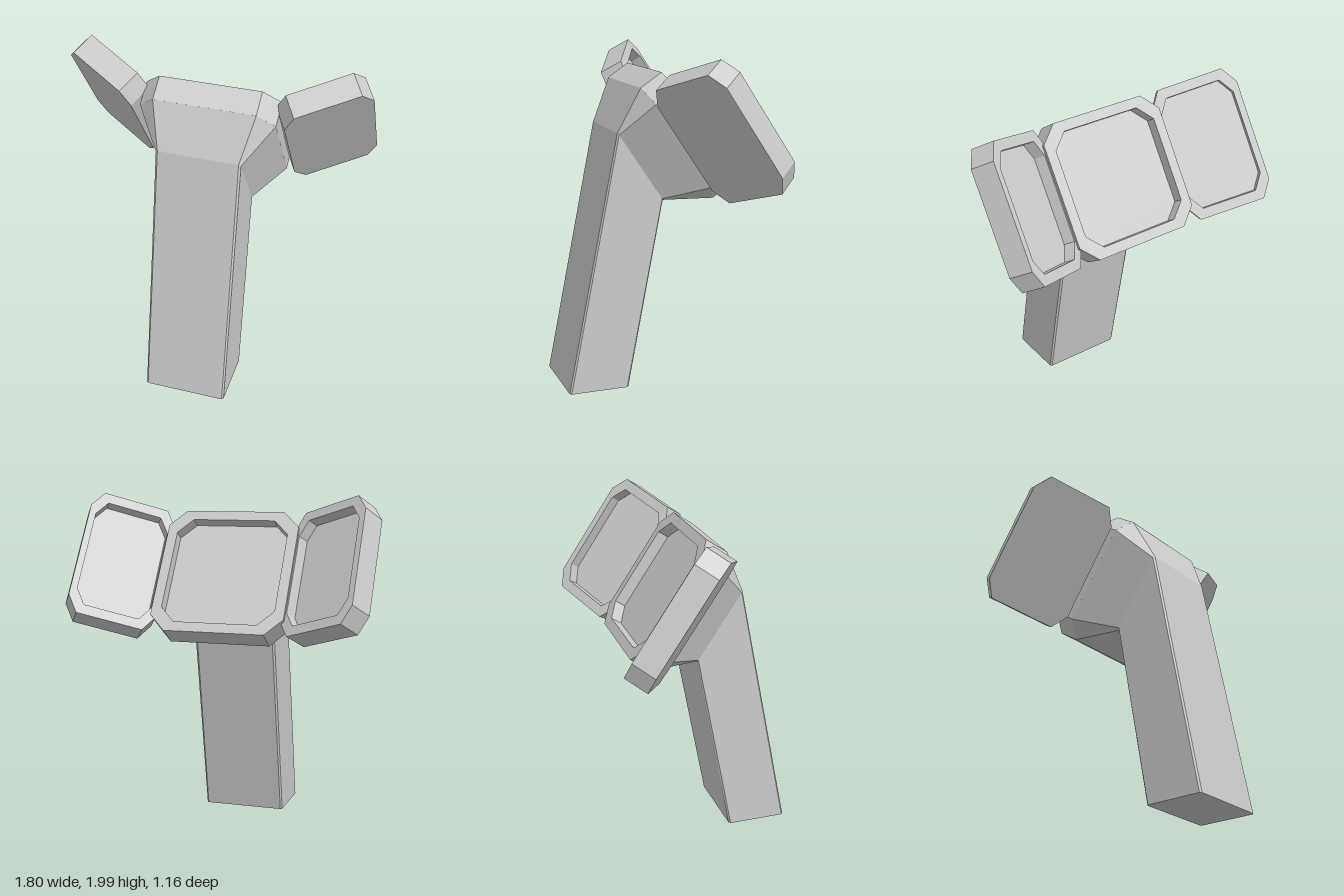
import * as THREE from 'three';

const TILT = 0.594; // backward lean of the tray faces (34 degrees)
const FOLD = Math.PI / 6; // how far the side trays fold in
const material = new THREE.MeshStandardMaterial({ color: 0xcccccc, flatShading: true });

// Rectangle with cut corners, centred on c and spanned by x and the unit vector v
function octagon(hx, hv, cut, c, v) {
  const a = hx - cut, b = hv - cut;
  return [[hx, -b], [hx, b], [a, hv], [-a, hv], [-hx, b], [-hx, -b], [-a, -hv], [a, -hv]]
    .map(([x, t]) => new THREE.Vector3(x, 0, 0).add(c).addScaledVector(v, t));
}

// Faceted skin through successive rings, closed at both ends
function loft(rings) {
  const pts = [];
  for (let r = 0; r < rings.length - 1; r++) {
    const p = rings[r], q = rings[r + 1];
    for (let i = 0; i < 8; i++) {
      const j = (i + 1) % 8;
      pts.push(p[i], p[j], q[j], p[i], q[j], q[i]);
    }
  }
  const first = rings[0], last = rings[rings.length - 1];
  for (let i = 1; i < 7; i++) {
    pts.push(first[0], first[i + 1], first[i], last[0], last[i], last[i + 1]);
  }
  const geometry = new THREE.BufferGeometry().setFromPoints(pts);
  geometry.computeVertexNormals();
  return geometry;
}

export function createModel() {
  const model = new THREE.Group();
  const vec = (x, y, z) => new THREE.Vector3(x, y, z);
  const add = (name, geometry) => {
    const mesh = new THREE.Mesh(geometry, material);
    mesh.name = name;
    model.add(mesh);
    return mesh;
  };

  // Leaning post and the flared neck behind the centre tray
  const slope = vec(0, Math.cos(TILT), Math.sin(TILT));
  const headRing = octagon(0.4, 0.4, 0.1, vec(0, 1.469, -0.066), slope);
  const collarRing = octagon(0.25, 0.246, 0.012, vec(0, 1.3375, 0.14), slope);
  const footRing = octagon(0.25, 0.1825, 0.01, vec(0, 0, 0.4025), vec(0, 0, 1));
  add('neck', loft([headRing, collarRing]));
  add('post', loft([collarRing, footRing]));

  // Tray: outer wall, flat rim, pocket wall and floor
  const up = vec(0, 1, 0);
  const trayGeometry = loft([
    octagon(0.4, 0.4, 0.1, vec(0, 0, -0.15), up),
    octagon(0.4, 0.4, 0.1, vec(0, 0, 0), up),
    octagon(0.34, 0.34, 0.09, vec(0, 0, 0), up),
    octagon(0.34, 0.34, 0.09, vec(0, 0, -0.07), up),
  ]);

  const centre = add('centreTray', trayGeometry);
  centre.position.set(0, 1.553, -0.19);
  centre.rotation.set(TILT, Math.PI, 0);

  // Narrower side trays, folded inward
  for (const side of [1, -1]) {
    const wing = add(side > 0 ? 'leftTray' : 'rightTray', trayGeometry);
    wing.position.set(side * 0.6, 1.605, -0.27);
    wing.rotation.set(TILT, Math.PI + side * FOLD, 0);
    wing.scale.x = 0.65;
  }

  return model;
}
